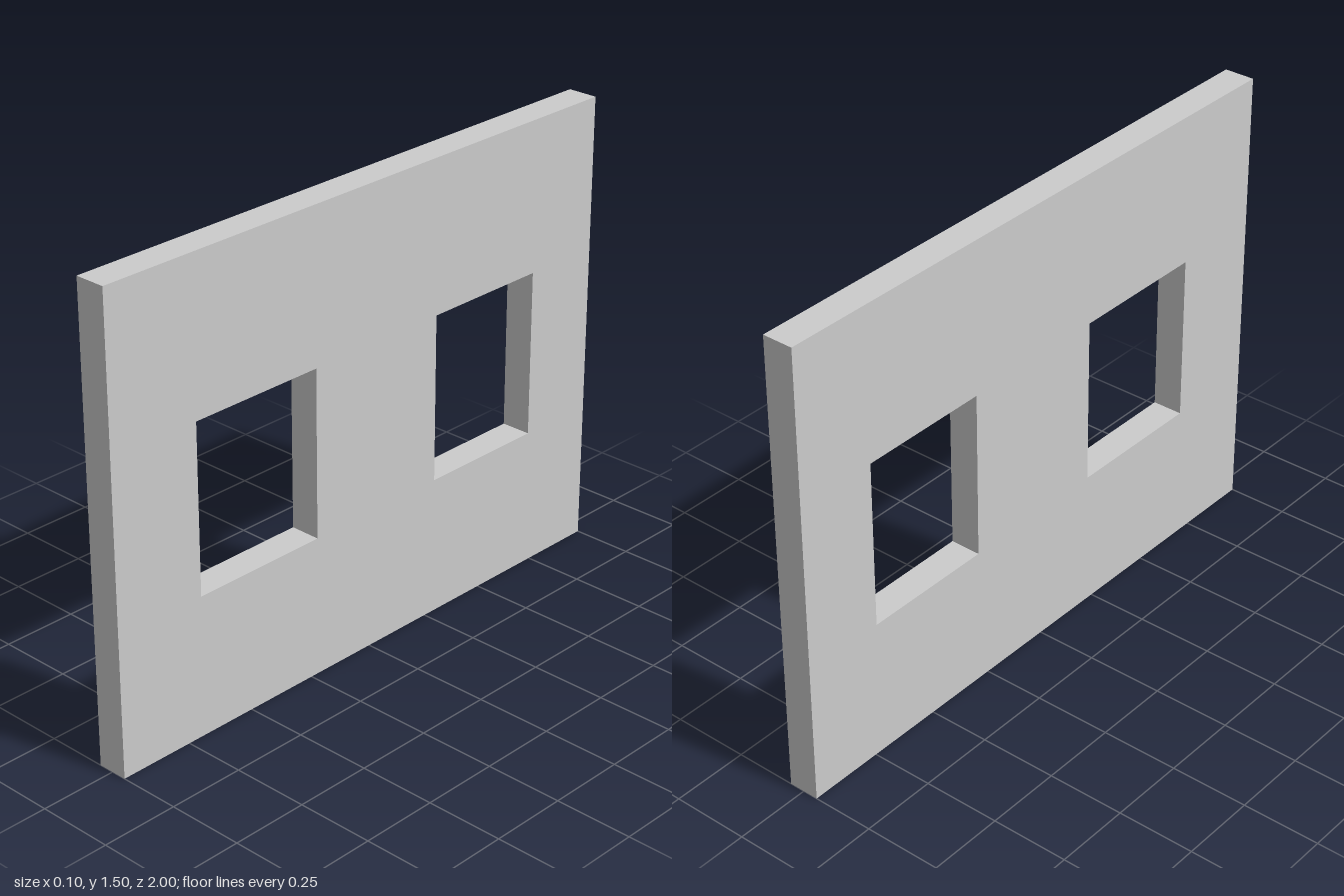
import * as THREE from 'three';

const HEIGHT = 1.5, THICKNESS = 0.1;
const SILL = 0.457, HEAD = 1.003;
// Window openings as [rear z, front z]
const OPENINGS = [[0.221, 0.688], [-0.727, -0.287]];

// Rectangle outline drawn on the wall's face, where shape x is -z
function rectangle(target, z0, z1, y0, y1) {
  target.moveTo(-z1, y0);
  target.lineTo(-z0, y0);
  target.lineTo(-z0, y1);
  target.lineTo(-z1, y1);
  target.closePath();
  return target;
}

export function createModel() {
  const group = new THREE.Group();
  group.name = 'windowWall';

  // Wall panel with two window openings
  const outline = rectangle(new THREE.Shape(), -1, 1, 0, HEIGHT);
  for (const [z0, z1] of OPENINGS) {
    outline.holes.push(rectangle(new THREE.Path(), z0, z1, SILL, HEAD));
  }
  const geometry = new THREE.ExtrudeGeometry(outline, { depth: THICKNESS, bevelEnabled: false });
  geometry.translate(0, 0, -THICKNESS / 2);
  geometry.rotateY(Math.PI / 2);

  const wall = new THREE.Mesh(geometry, new THREE.MeshStandardMaterial({ color: 0xcccccc }));
  wall.name = 'wallPanel';
  group.add(wall);
  return group;
}
